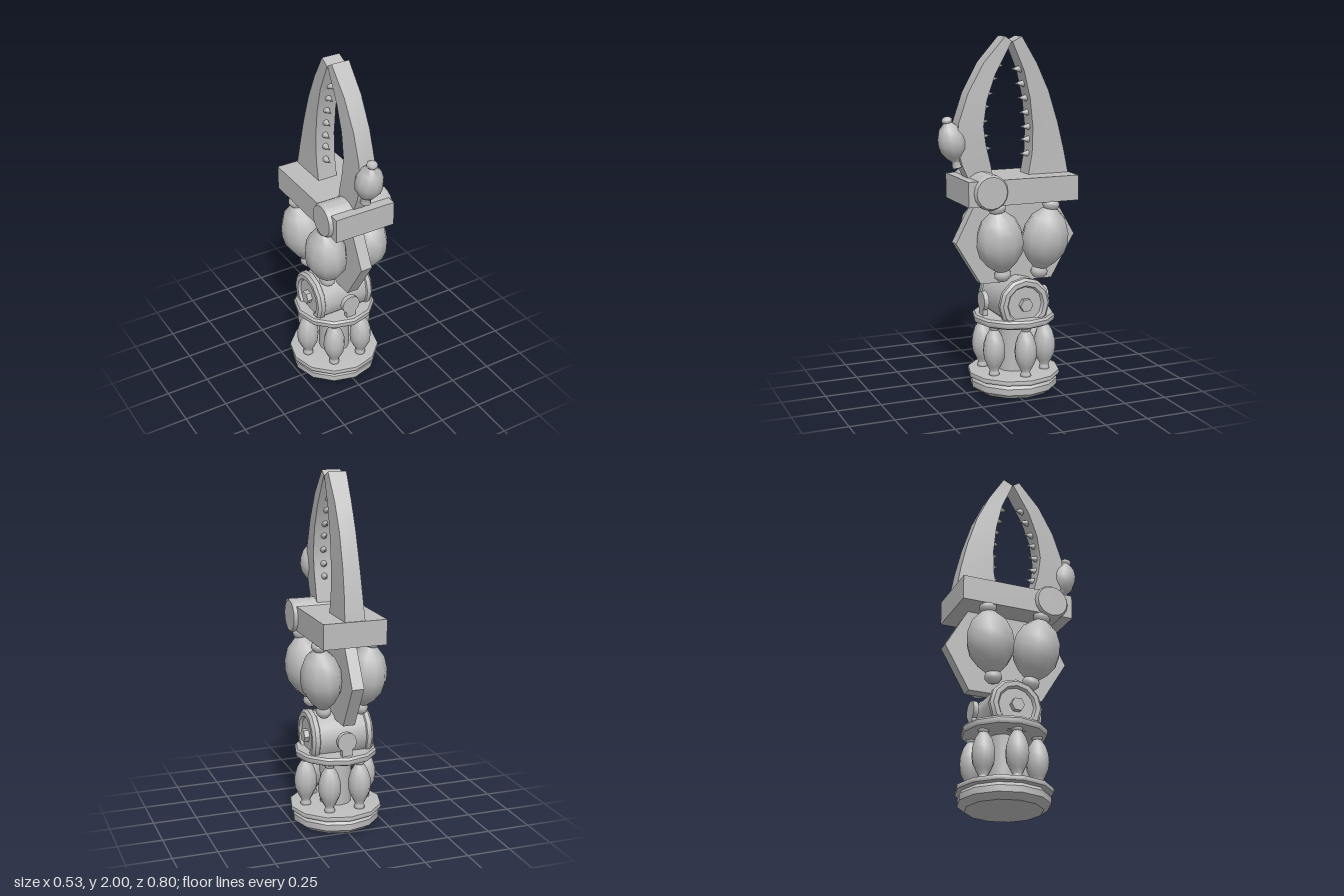
import * as THREE from 'three';
import { toCreasedNormals } from 'three/addons/utils/BufferGeometryUtils.js';

const AXIS_Z = -0.04; // the wrist stands slightly behind the origin

export function createModel() {
  const model = new THREE.Group();
  model.name = 'mechanicalClaw';
  const grey = new THREE.MeshStandardMaterial({ color: 0xbcbcbc });
  grey.name = 'grey';

  function add(name, geometry, x = 0, y = 0, z = 0, parent = model) {
    const mesh = new THREE.Mesh(geometry, grey);
    mesh.name = name;
    mesh.position.set(x, y, z);
    parent.add(mesh);
    return mesh;
  }
  const lathe = (profile, sides, crease = 0.6) => toCreasedNormals(
    new THREE.LatheGeometry(profile.map(([r, y]) => new THREE.Vector2(r, y)), sides), crease);

  // Spindle-shaped bulb with a knob at each end, running from one point to another
  function bulb(name, from, to, radius, knob, flatten = 1, cut = false) {
    const a = new THREE.Vector3(...from), b = new THREE.Vector3(...to);
    const L = a.distanceTo(b);
    const body = [[knob * 0.8, 0.14], [radius * 0.62, 0.23], [radius * 0.92, 0.36], [radius, 0.49],
      [radius * 0.95, 0.62], [radius * 0.72, 0.77], [knob * 0.8, 0.88]];
    const low = cut ? [[0, 0], [knob, 0.02]] : [[0, 0], [knob * 0.55, 0.01], [knob, 0.06], [knob, 0.1]];
    const high = [[knob, 0.91], [knob, 0.95], [knob * 0.55, 0.99], [0, 1]];
    const g = lathe([...low, ...body, ...high].map(([r, t]) => [r, (t - 0.5) * L]), 10, 1);
    g.scale(flatten, 1, 1);
    const mesh = add(name, g);
    mesh.position.copy(a).add(b).multiplyScalar(0.5);
    mesh.quaternion.setFromUnitVectors(new THREE.Vector3(0, 1, 0), b.sub(a).normalize());
  }

  // Stepped base, central column and collar
  add('base', lathe([[0, 0], [0.21, 0], [0.25, 0.03], [0.25, 0.065], [0.235, 0.085], [0.262, 0.09],
    [0.265, 0.1], [0.262, 0.115], [0.24, 0.12], [0, 0.12]], 12), 0, 0, AXIS_Z);
  add('column', toCreasedNormals(new THREE.CylinderGeometry(0.09, 0.09, 0.32, 12), 0.6), 0, 0.27, AXIS_Z);
  add('collar', lathe([[0, 0.395], [0.2, 0.395], [0.23, 0.408], [0.235, 0.42], [0.235, 0.437],
    [0.225, 0.45], [0, 0.45]], 12), 0, 0, AXIS_Z);

  // Ring of six small bulbs around the column
  for (let i = 0; i < 6; i++) {
    const a = i * Math.PI / 3;
    const x = 0.178 * Math.cos(a), z = AXIS_Z + 0.178 * Math.sin(a);
    bulb('wristBulb', [x, 0.1, z], [x, 0.42, z], 0.064, 0.03);
  }

  // Sideways barrel joint with rimmed ends and hexagonal bolts
  const barrel = add('barrelJoint', lathe([[0, -0.165], [0.1, -0.165], [0.11, -0.18], [0.135, -0.18],
    [0.15, -0.165], [0.15, -0.14], [0.142, -0.135], [0.142, 0.135], [0.15, 0.14], [0.15, 0.165],
    [0.135, 0.18], [0.11, 0.18], [0.1, 0.165], [0, 0.165]], 12), 0, 0.53, AXIS_Z);
  barrel.rotation.z = Math.PI / 2;
  for (const s of [-1, 1]) {
    const bolt = add('jointBolt', toCreasedNormals(new THREE.CylinderGeometry(0.038, 0.038, 0.035, 6), 0.5),
      s * 0.177, 0.53, AXIS_Z);
    bolt.rotation.z = Math.PI / 2;
    // Upright round lugs in front of and behind the barrel
    const z = AXIS_Z + s * 0.183;
    const lug = add('lug', toCreasedNormals(new THREE.CylinderGeometry(0.056, 0.056, 0.028, 12), 0.6), 0, 0.53, z);
    lug.rotation.x = Math.PI / 2;
    add('lugFoot', new THREE.BoxGeometry(0.06, 0.1, 0.028), 0, 0.45, z);
  }

  // Hexagonal palm plate
  const hexagon = new THREE.Shape([[-0.315, 0.875], [-0.17, 0.635], [0.26, 0.635], [0.4, 0.88],
    [0.265, 1.115], [-0.19, 1.115]].map(([x, y]) => new THREE.Vector2(x, y)));
  const plate = new THREE.ExtrudeGeometry(hexagon, { depth: 0.068, bevelEnabled: false });
  plate.translate(0, 0, -0.034);
  add('palmPlate', plate).rotation.y = Math.PI / 2;

  // Four large leaning bulbs
  for (const sx of [-1, 1]) for (const sz of [-1, 1]) {
    bulb('palmBulb', [sx * 0.105, 0.66, AXIS_Z + sz * 0.105], [sx * 0.155, 1.115, AXIS_Z + sz * 0.165],
      0.138, 0.05, 0.83);
  }

  // Platform and hinge
  add('platform', new THREE.BoxGeometry(0.36, 0.14, 0.65), 0, 1.17, -0.03);
  const hinge = add('hinge', lathe([[0, -0.2], [0.088, -0.2], [0.098, -0.185], [0.098, 0.185],
    [0.088, 0.2], [0, 0.2]], 16), 0, 1.175, 0.167);
  hinge.rotation.z = Math.PI / 2;

  // Pincer lofted through rows of [front z, front y, front half width, back z, back y, back half width]
  function pincer(name, rows) {
    const p = [], index = [];
    rows.forEach(([zf, yf, wf, zb, yb, wb], r) => {
      p.push(-wf, yf, zf, wf, yf, zf, wb, yb, zb, -wb, yb, zb);
      if (r === 0) return;
      for (let i = 0; i < 4; i++) {
        const a = (r - 1) * 4 + i, b = (r - 1) * 4 + (i + 1) % 4;
        index.push(a, b, b + 4, a, b + 4, a + 4);
      }
    });
    const t = (rows.length - 1) * 4;
    index.push(0, 2, 1, 0, 3, 2, t, t + 1, t + 2, t, t + 2, t + 3);
    const g = new THREE.BufferGeometry();
    g.setAttribute('position', new THREE.Float32BufferAttribute(p, 3));
    g.setIndex(index);
    add(name, toCreasedNormals(g, 0.5));
  }
  pincer('frontPincer', [
    [0.235, 1.21, 0.045, 0.1, 1.21, 0.055],
    [0.28, 1.31, 0.046, 0.115, 1.29, 0.057],
    [0.312, 1.42, 0.047, 0.147, 1.42, 0.058],
    [0.3, 1.54, 0.048, 0.16, 1.52, 0.058],
    [0.245, 1.7, 0.048, 0.14, 1.66, 0.058],
    [0.155, 1.86, 0.05, 0.09, 1.8, 0.057],
    [0.03, 2, 0.052, -0.008, 1.973, 0.054]]);
  pincer('backPincer', [
    [-0.105, 1.235, 0.058, -0.348, 1.235, 0.058],
    [-0.128, 1.36, 0.058, -0.325, 1.36, 0.052],
    [-0.132, 1.5, 0.058, -0.287, 1.52, 0.048],
    [-0.115, 1.66, 0.058, -0.23, 1.7, 0.046],
    [-0.08, 1.81, 0.057, -0.16, 1.85, 0.047],
    [-0.012, 1.97, 0.054, -0.068, 1.998, 0.052]]);

  // Facing rows of pointed teeth: [y, base z]
  const teeth = (name, list, dir) => list.forEach(([y, z]) => {
    const tooth = add(name, new THREE.ConeGeometry(0.021, 0.06, 8), 0, y, z + dir * 0.024);
    tooth.rotation.x = dir * Math.PI / 2;
  });
  teeth('frontTooth', [[1.39, 0.14], [1.46, 0.152], [1.54, 0.158], [1.62, 0.148], [1.69, 0.13],
    [1.77, 0.102], [1.84, 0.07]], -1);
  teeth('backTooth', [[1.35, -0.127], [1.43, -0.13], [1.5, -0.132], [1.58, -0.125], [1.66, -0.115],
    [1.74, -0.097], [1.82, -0.076]], 1);

  // Bulb on the outside of the front pincer
  bulb('pincerBulb', [0, 1.29, 0.29], [0, 1.575, 0.355], 0.079, 0.03, 1, true);

  // Rear peg below the platform edge
  return model;
}
